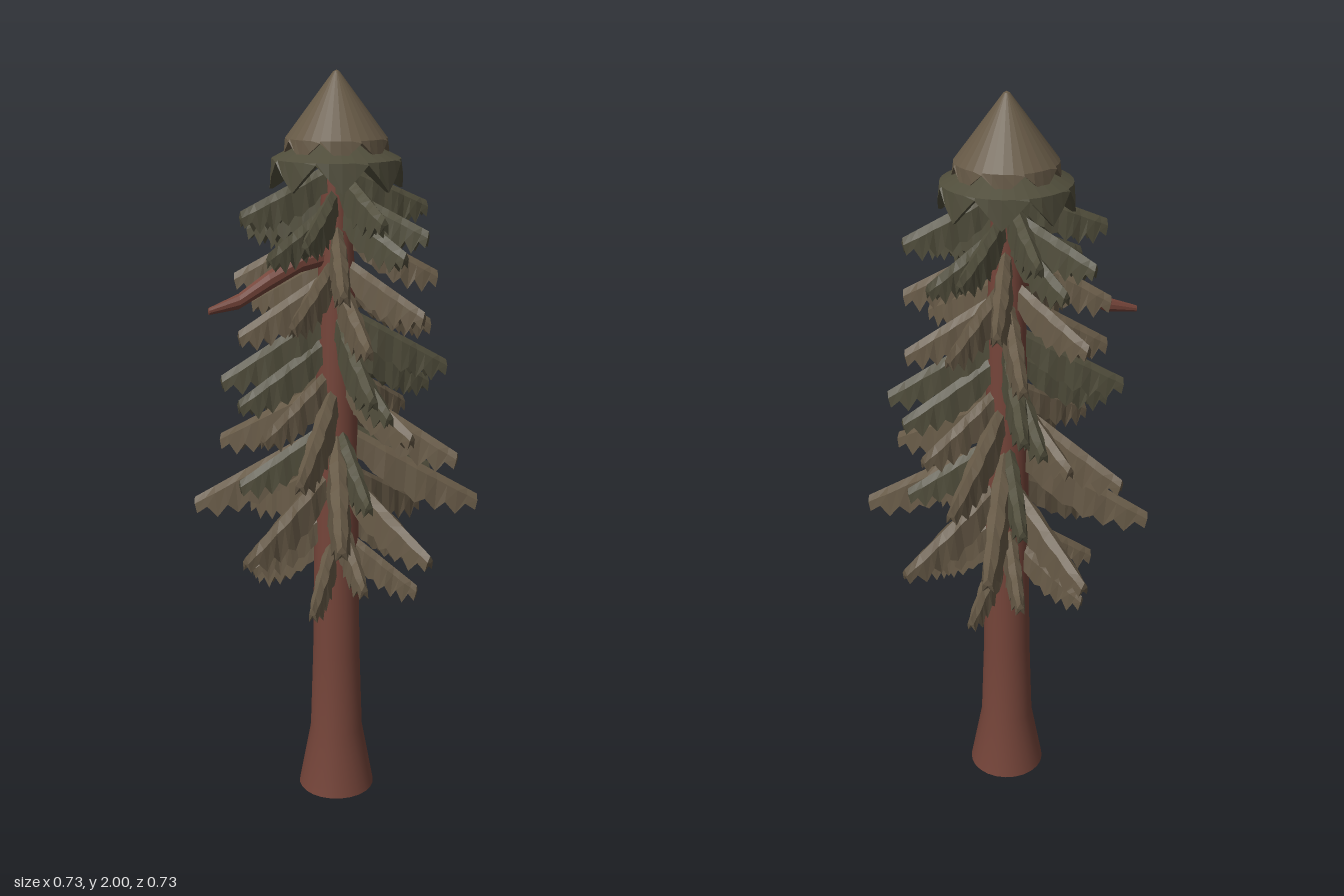
import * as THREE from 'three';

const BARK = 0x744439, BROWN = 0x665946, GREEN = 0x504d3b;
const material = (color, flatShading) => new THREE.MeshStandardMaterial({ color, flatShading, roughness: 0.9 });

// Skin rings of equal point count (counter-clockwise seen from the last ring)
function loft(rings) {
  const n = rings[0].length, positions = [], index = [];
  rings.forEach(ring => ring.forEach(p => positions.push(...p)));
  for (let i = 0; i < rings.length - 1; i++) {
    for (let j = 0; j < n; j++) {
      const a = i * n + j, b = i * n + (j + 1) % n;
      index.push(a, b, a + n, b, b + n, a + n);
    }
  }
  const indexed = new THREE.BufferGeometry();
  indexed.setAttribute('position', new THREE.Float32BufferAttribute(positions, 3));
  indexed.setIndex(index);
  const g = indexed.toNonIndexed();
  g.computeVertexNormals();
  return g;
}

// Deep drooping needle branch along +x: sharp ridge, scalloped flanks, ragged hem
function branchGeometry(length, tipY, slope) {
  const steps = 13, start = 0.02, rings = [];
  for (let i = 0; i <= steps; i++) {
    const t = i / steps, x = start + (length - start) * t;
    const top = tipY + 0.02 + (length - x) * slope;
    const bulge = Math.sin(Math.PI * (0.06 + 0.94 * t));
    const depth = 0.042 + length * 0.16 * bulge;
    const w = (0.01 + length * 0.04) * (0.65 + 0.5 * bulge) * (1 + 0.13 * Math.sin(i * 1.9));
    const ragged = (i % 2 ? -0.007 : 0.012) + 0.006 * Math.sin(i * 2.7);
    const hem = top - depth + (t === 1 ? 0 : ragged);
    rings.push([
      [x, top, 0], [x, top - 0.016, w * 0.75], [x - 0.006, hem, w],
      [x - 0.006, hem + depth * 0.3, 0], [x - 0.006, hem, -w], [x, top - 0.016, -w * 0.75],
    ]);
  }
  const closed = ([[x, y]]) => Array.from({ length: 6 }, () => [x, y - 0.02, 0]);
  return loft([closed(rings[0]), ...rings, closed(rings[steps])]);
}

// Hollow crown cone with a coarse zigzag rim, listed from the inside outwards
function crownGeometry(teeth, radius, apexY, shoulderY, toothLow) {
  const sides = teeth * 4;
  const ring = (r, yAt) => Array.from({ length: sides }, (_, j) => {
    const a = (j + 0.5) / sides * Math.PI * 2;
    return [r * Math.cos(a), yAt(j), -r * Math.sin(a)];
  });
  const rim = j => THREE.MathUtils.lerp(toothLow, shoulderY - 0.005, Math.abs(j % 4 - 2) / 2);
  return loft([
    ring(0, () => shoulderY + 0.03),
    ring(radius * 0.95, rim),
    ring(radius, rim),
    ring(radius * 0.97, () => shoulderY),
    ring(0.008, () => apexY - 0.004),
    ring(0, () => apexY),
  ]);
}

export function createModel() {
  const model = new THREE.Group();
  const add = (parent, name, geometry, mat) => {
    const mesh = new THREE.Mesh(geometry, mat);
    mesh.name = name;
    parent.add(mesh);
    return mesh;
  };
  const bark = material(BARK, false);
  const brown = material(BROWN, true), green = material(GREEN, true);

  // Trunk with flared foot
  const profile = [[0.107, 0], [0.074, 0.18], [0.066, 0.42], [0.063, 0.65], [0.058, 1.05], [0.048, 1.5], [0.035, 1.8]];
  add(model, 'trunk', new THREE.LatheGeometry(profile.map(p => new THREE.Vector2(...p)), 24), bark);
  const base = add(model, 'trunkBase', new THREE.CircleGeometry(0.107, 24), bark);
  base.rotation.x = Math.PI / 2;

  // Tiers of four branches: tip height, reach, turn in degrees, slope, needles
  const tiers = [
    [0.62, 0.23, 38, 0.72, brown],
    [0.69, 0.24, 4, 0.66, brown],
    [0.775, 0.338, 66, 0.58, brown],
    [0.86, 0.386, 20, 0.57, brown],
    [0.93, 0.27, 4, 0.6, green],
    [1.01, 0.332, 38, 0.57, brown],
    [1.09, 0.27, 66, 0.57, brown],
    [1.165, 0.285, 84, 0.58, green],
    [1.22, 0.312, 5, 0.58, green],
    [1.335, 0.265, 4, 0.6, brown],
    [1.39, 0.25, 48, 0.57, brown],
    [1.475, 0.265, 18, 0.55, brown],
    [1.55, 0.24, 66, 0.5, green],
    [1.59, 0.245, 40, 0.47, green],
    [1.645, 0.265, 86, 0.44, green],
  ];
  tiers.forEach(([tipY, reach, turn, slope, mat], i) => {
    const tier = new THREE.Group();
    tier.name = `branchTier${i + 1}`;
    const geometry = branchGeometry(reach, tipY, slope);
    for (let k = 0; k < 4; k++) {
      add(tier, 'branch', geometry, mat).rotation.y = -THREE.MathUtils.degToRad(turn + 90 * k);
    }
    model.add(tier);
  });

  // Bare broken limb on the right side
  const limb = [
    [0, 1.545, 0, 0.026], [-0.1, 1.525, 0, 0.026], [-0.19, 1.482, 0.002, 0.026],
    [-0.27, 1.437, 0.006, 0.02], [-0.35, 1.418, 0.009, 0.009], [-0.352, 1.418, 0.009, 0],
  ].map(([x, y, z, r]) => Array.from({ length: 10 }, (_, j) => {
    const a = j / 10 * Math.PI * 2;
    return [x, y + r * Math.cos(a), z - r * 0.8 * Math.sin(a)];
  }));
  add(model, 'bareLimb', loft(limb), material(BARK, true));

  // Crown
  add(model, 'lowerCrown', crownGeometry(8, 0.17, 1.87, 1.785, 1.71), green);
  add(model, 'upperCrown', crownGeometry(8, 0.134, 2, 1.835, 1.785), brown);

  return model;
}
